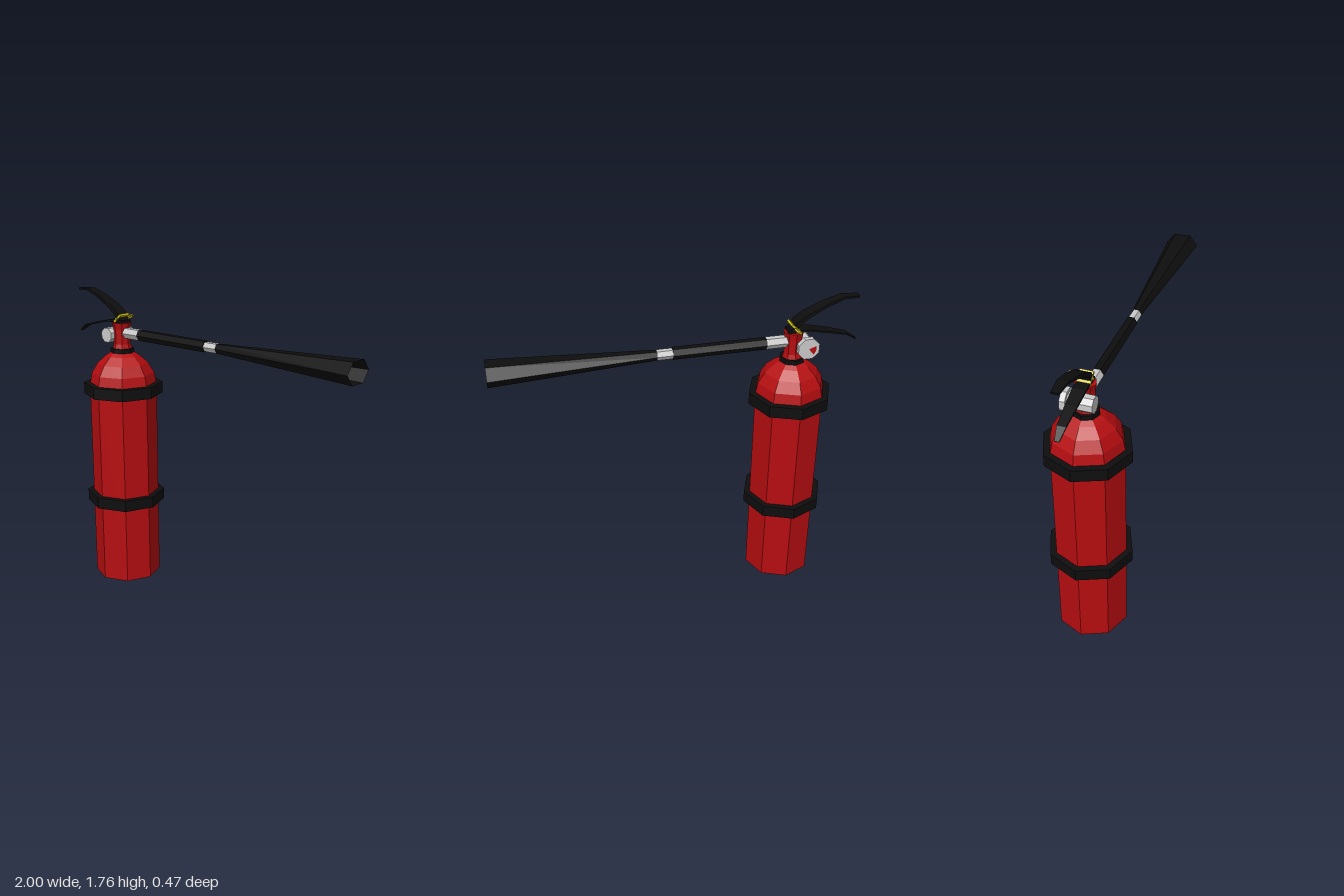
import * as THREE from 'three';

const material = (color, side = THREE.FrontSide) =>
  new THREE.MeshStandardMaterial({ color, side, flatShading: true });
const RED = material(0xb50d10);
const BLACK = material(0x0e0e0e);
const BLACK_OPEN = material(0x0e0e0e, THREE.DoubleSide);
const GREY = material(0xcccccc);
const YELLOW = material(0xd2c414);

const AXIS = -0.64; // x of the tank's axis
const HOSE_Y = 1.527;

export function createModel() {
  const model = new THREE.Group();
  model.name = 'fireExtinguisher';

  const add = (name, geometry, mat, x = 0, y = 0, z = 0) => {
    const mesh = new THREE.Mesh(geometry, mat);
    mesh.name = name;
    mesh.position.set(x, y, z);
    model.add(mesh);
    return mesh;
  };
  const lathe = (points, sides = 8) =>
    new THREE.LatheGeometry(points.map(([r, y]) => new THREE.Vector2(r, y)), sides);

  // Eight-sided tank with domed shoulder, and its grey base
  add('tank', lathe([
    [0.2, 0], [0.2, 1.215], [0.186, 1.285], [0.15, 1.345], [0.1, 1.39], [0.06, 1.415], [0, 1.415],
  ]), RED, AXIS);
  add('base', new THREE.CircleGeometry(0.2, 8).rotateX(Math.PI / 2), GREY, AXIS);

  // Protruding straps around the tank
  for (const [name, y] of [['lowerBand', 0.51], ['upperBand', 1.193]]) {
    add(name, lathe([
      [0.195, -0.034], [0.235, -0.034], [0.235, 0.034], [0.195, 0.034],
    ]), BLACK, AXIS, y);
  }

  // Collar and valve body
  add('collar', new THREE.CylinderGeometry(0.07, 0.07, 0.026, 8), BLACK, AXIS, 1.421);
  add('valveBody', lathe([
    [0.058, 1.43], [0.05, 1.46], [0.05, 1.55], [0.057, 1.585], [0, 1.585],
  ]), RED, AXIS);

  // Gauge on the back of the valve, its plug on the front
  const disc = (name, r, z0, z1, mat) => add(name,
    new THREE.CylinderGeometry(r, r, z1 - z0, 8).rotateX(Math.PI / 2).rotateZ(Math.PI / 8),
    mat, -0.7, 1.51, (z0 + z1) / 2);
  disc('gaugeRim', 0.063, -0.09, -0.06, GREY);
  disc('gaugeBody', 0.045, -0.06, 0.07, GREY);
  add('gaugeMark', new THREE.CircleGeometry(0.042, 3, -0.9, 1.3).rotateY(Math.PI),
    RED, -0.7, 1.51, -0.0915);

  // Six-sided hose run along x, from fitting to flared horn
  const pipe = (name, x0, x1, r0, r1, mat, open = false) => {
    const g = new THREE.CylinderGeometry(r1, r0, x1 - x0, 6, 1, open).rotateZ(-Math.PI / 2);
    return add(name, g, mat, (x0 + x1) / 2, HOSE_Y);
  };
  pipe('hoseFitting', -0.62, -0.485, 0.034, 0.034, GREY);
  pipe('hose', -0.485, 0.03, 0.034, 0.034, BLACK);
  pipe('hornFitting', 0.03, 0.115, 0.029, 0.029, GREY);
  const horn = pipe('horn', 0.11, 1, 0.028, 0.093, BLACK_OPEN, true);
  // The mouth is flattened vertically
  const p = horn.geometry.attributes.position;
  for (let i = 0; i < p.count; i++) if (p.getX(i) > 0) p.setY(i, p.getY(i) * 0.72);
  horn.geometry.computeVertexNormals();

  // Levers: a box bent through stations of [x, y, half width, thickness]
  const lever = (name, stations) => {
    const n = stations.length - 1;
    const g = new THREE.BoxGeometry(n, 1, 1, n, 1, 1);
    const q = g.attributes.position;
    for (let i = 0; i < q.count; i++) {
      const k = Math.round(q.getX(i) + n / 2);
      const [x, y, w, t] = stations[k];
      const a = stations[Math.max(k - 1, 0)], b = stations[Math.min(k + 1, n)];
      const dx = b[0] - a[0], dy = b[1] - a[1], len = Math.hypot(dx, dy);
      const off = q.getY(i) * t;
      q.setXYZ(i, x - (dy / len) * off, y + (dx / len) * off, q.getZ(i) * 2 * w);
    }
    g.computeVertexNormals();
    add(name, g, BLACK);
  };
  lever('upperLever', [
    [-0.99, 1.755, 0.02, 0.01], [-0.9, 1.757, 0.027, 0.013], [-0.8, 1.722, 0.032, 0.017],
    [-0.7, 1.673, 0.036, 0.022], [-0.655, 1.64, 0.036, 0.028], [-0.625, 1.585, 0.03, 0.034],
  ]);
  lever('lowerLever', [
    [-1, 1.5, 0.012, 0.006], [-0.94, 1.54, 0.023, 0.008], [-0.82, 1.57, 0.03, 0.01],
    [-0.72, 1.591, 0.034, 0.012], [-0.6, 1.592, 0.034, 0.016],
  ]);

  // Safety pin, its pull ring and the seal across the lever
  add('safetyPin', new THREE.CylinderGeometry(0.007, 0.007, 0.1, 6).rotateX(Math.PI / 2),
    YELLOW, AXIS, 1.612, -0.005);
  add('pullRing', new THREE.TorusGeometry(0.021, 0.006, 5, 10).rotateX(Math.PI / 2),
    YELLOW, AXIS, 1.611, -0.068).rotation.z = 0.6;
  add('seal', new THREE.BoxGeometry(0.07, 0.012, 0.072), YELLOW, AXIS, 1.612).rotation.z = 0.7;

  return model;
}
